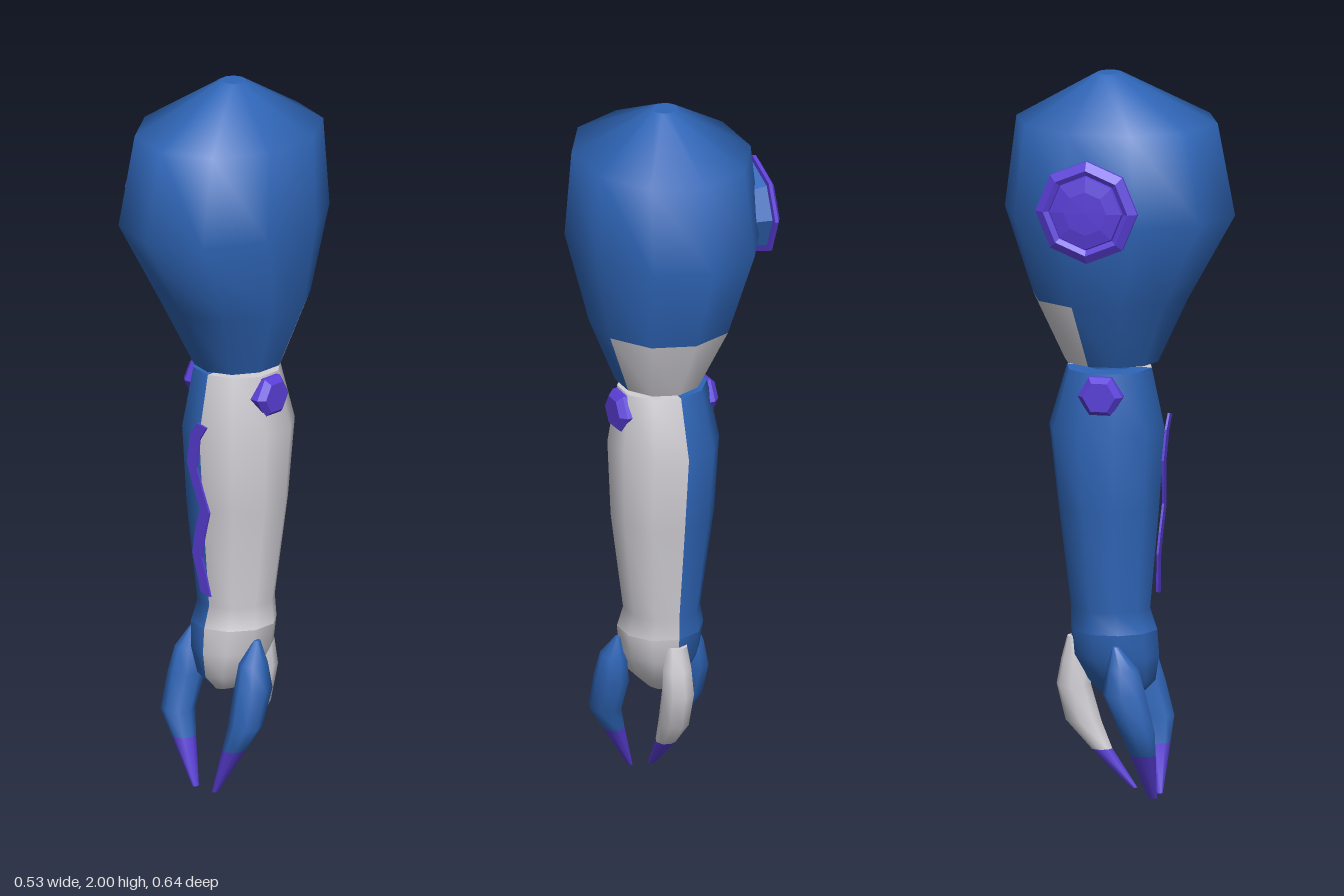
import * as THREE from 'three';

const AXIS_X = 0.035; // centre line of the forearm and hand

const mat = (name, color) => {
  const m = new THREE.MeshStandardMaterial({ color });
  m.name = name;
  return m;
};

// Skin over horizontal rings [y, cx, cz, rx, rz], listed top to bottom.
// pick(ring, side) chooses the material index of each face.
function loft(name, rings, sides, materials, pick = () => 0) {
  const pos = [];
  const faces = materials.map(() => []);
  const addRing = ([y, cx, cz, rx, rz]) => {
    const start = pos.length / 3;
    for (let k = 0; k < sides; k++) {
      const a = (k / sides) * Math.PI * 2;
      pos.push(cx + rx * Math.sin(a), y, cz + rz * Math.cos(a));
    }
    return start;
  };
  const starts = rings.map(addRing);
  for (let i = 0; i < rings.length - 1; i++) {
    for (let k = 0; k < sides; k++) {
      const n = (k + 1) % sides;
      const a = starts[i] + k, b = starts[i + 1] + k, c = starts[i + 1] + n, d = starts[i] + n;
      faces[pick(i, k)].push(a, b, c, a, c, d);
    }
  }
  // End caps with their own vertices, so their rims stay crisp
  [[0, 1], [rings.length - 1, -1]].forEach(([i, dir]) => {
    const s = addRing(rings[i]);
    const centre = pos.length / 3;
    pos.push(rings[i][1], rings[i][0], rings[i][2]);
    for (let k = 0; k < sides; k++) {
      const n = (k + 1) % sides;
      const f = faces[pick(Math.min(i, rings.length - 2), k)];
      if (dir > 0) f.push(centre, s + k, s + n);
      else f.push(centre, s + n, s + k);
    }
  });
  const geo = new THREE.BufferGeometry();
  geo.setAttribute('position', new THREE.Float32BufferAttribute(pos, 3));
  geo.setIndex(faces.flat());
  let offset = 0;
  faces.forEach((f, m) => {
    geo.addGroup(offset, f.length, m);
    offset += f.length;
  });
  geo.computeVertexNormals();
  const mesh = new THREE.Mesh(geo, materials);
  mesh.name = name;
  return mesh;
}

export function createModel() {
  const blue = mat('blue', 0x2f66b8);
  const white = mat('paleGrey', 0xd2d0d6);
  const purple = mat('purple', 0x5a3fd8);
  const model = new THREE.Group();
  model.name = 'armoredArm';

  // Shoulder and upper arm, with a pale patch at the lower back
  model.add(loft('upperArm', [
    [2.0, 0.025, -0.03, 0.036, 0.035],
    [1.87, 0.027, -0.01, 0.24, 0.28],
    [1.62, 0.018, 0, 0.26, 0.32],
    [1.38, 0.035, -0.03, 0.197, 0.215],
    [1.2, 0.045, -0.03, 0.116, 0.13],
  ], 10, [blue, white], (i, k) => (i === 3 && k >= 3 && k <= 6 ? 1 : 0)));

  // Elbow
  model.add(loft('elbow', [
    [1.21, AXIS_X, -0.03, 0.06, 0.06],
    [1.17, AXIS_X, -0.03, 0.06, 0.06],
  ], 10, [blue]));

  // Forearm and palm are pale on the left half and blue on the right half
  const halves = (i, k) => (k < 5 ? 1 : 0);
  model.add(loft('forearm', [
    [1.185, AXIS_X, -0.033, 0.124, 0.118],
    [1.02, AXIS_X, -0.04, 0.152, 0.16],
    [0.8, AXIS_X, -0.035, 0.142, 0.14],
    [0.52, AXIS_X, -0.03, 0.105, 0.11],
    [0.46, AXIS_X, -0.02, 0.118, 0.12],
  ], 10, [blue, white], halves));
  model.add(loft('palm', [
    [0.46, AXIS_X, -0.02, 0.118, 0.12],
    [0.39, AXIS_X, -0.015, 0.108, 0.12],
    [0.32, AXIS_X, 0, 0.078, 0.095],
    [0.275, AXIS_X, 0, 0.03, 0.05],
  ], 10, [blue, white], halves));

  // Two front fingers, mirrored about the hand's centre line
  for (const s of [1, -1]) {
    const rings = [
      [0.43, 0.112, 0.01, 0.008, 0.01],
      [0.37, 0.116, 0.03, 0.036, 0.044],
      [0.3, 0.12, 0.035, 0.046, 0.06],
      [0.2, 0.122, 0.07, 0.045, 0.05],
      [0.13, 0.092, 0.08, 0.031, 0.036],
      [0.0, 0.036, 0.095, 0.007, 0.012],
    ].map(([y, x, ...rest]) => [y, AXIS_X + s * x, ...rest]);
    model.add(loft(s > 0 ? 'leftFinger' : 'rightFinger', rings, 8, [blue, purple], (i) => (i === 4 ? 1 : 0)));
  }

  // Thumb at the back, curling forward
  model.add(loft('thumb', [
    [0.435, AXIS_X, -0.125, 0.03, 0.025],
    [0.37, AXIS_X, -0.125, 0.042, 0.042],
    [0.3, AXIS_X, -0.132, 0.045, 0.048],
    [0.2, AXIS_X, -0.105, 0.04, 0.05],
    [0.125, AXIS_X, -0.055, 0.028, 0.03],
    [0.02, AXIS_X, 0.035, 0.008, 0.01],
  ], 8, [white, purple], (i) => (i === 4 ? 1 : 0)));

  // Hexagonal elbow bolts with chamfered outer faces
  for (const s of [1, -1]) {
    const profile = [[0, -0.04], [0.062, -0.04], [0.062, 0.015], [0.045, 0.032], [0, 0.032]];
    const geo = new THREE.LatheGeometry(profile.map(([r, y]) => new THREE.Vector2(r, y)), 6).toNonIndexed();
    geo.computeVertexNormals();
    geo.rotateY(Math.PI / 2);
    geo.rotateZ(-s * Math.PI / 2);
    // Put one corner of the hexagon straight up
    geo.rotateX(Math.PI / 2);
    geo.translate(AXIS_X + s * 0.117, 1.125, -0.03);
    const bolt = new THREE.Mesh(geo, purple);
    bolt.name = s > 0 ? 'leftBolt' : 'rightBolt';
    model.add(bolt);
  }

  // Wavy stripe down the front of the forearm
  const wave = [[0.055, 1.055], [0.028, 1.015], [0.013, 0.93], [0.03, 0.87], [0.052, 0.805],
    [0.03, 0.73], [0.018, 0.67], [0.03, 0.62], [0.043, 0.56]];
  const outline = [
    ...wave.map(([x, y]) => new THREE.Vector2(x - 0.017, y + 0.005)),
    ...wave.map(([x, y]) => new THREE.Vector2(x + 0.017, y - 0.003)).reverse(),
  ];
  const stripeGeo = new THREE.ExtrudeGeometry(new THREE.Shape(outline), { depth: 0.006, bevelEnabled: false });
  const p = stripeGeo.attributes.position;
  for (let i = 0; i < p.count; i++) p.setZ(i, p.getZ(i) + 0.098 + 0.06 * (p.getY(i) - 0.56));
  stripeGeo.computeVertexNormals();
  const stripe = new THREE.Mesh(stripeGeo, purple);
  stripe.name = 'forearmStripe';
  model.add(stripe);

  // Round shoulder badge: raised rim and shallow dome on a blue base
  const badge = new THREE.Group();
  badge.name = 'shoulderBadge';
  const disc = (name, profile, material) => {
    const geo = new THREE.LatheGeometry(profile.map(([r, y]) => new THREE.Vector2(r, y)), 8).toNonIndexed();
    geo.computeVertexNormals();
    const mesh = new THREE.Mesh(geo, material);
    mesh.name = name;
    badge.add(mesh);
  };
  disc('badgeBase', [[0, -0.05], [0.115, -0.05], [0.125, -0.002], [0, -0.002]], blue);
  disc('badgeRim', [[0.1, -0.004], [0.142, -0.004], [0.142, 0.006], [0.118, 0.02], [0.104, 0.012], [0.1, -0.004]], purple);
  disc('badgeDome', [[0, -0.002], [0.108, -0.002], [0.1, 0.016], [0.06, 0.024], [0, 0.026]], purple);
  badge.rotation.z = Math.PI / 2;
  badge.position.set(-0.241, 1.665, -0.035);
  model.add(badge);

  return model;
}
